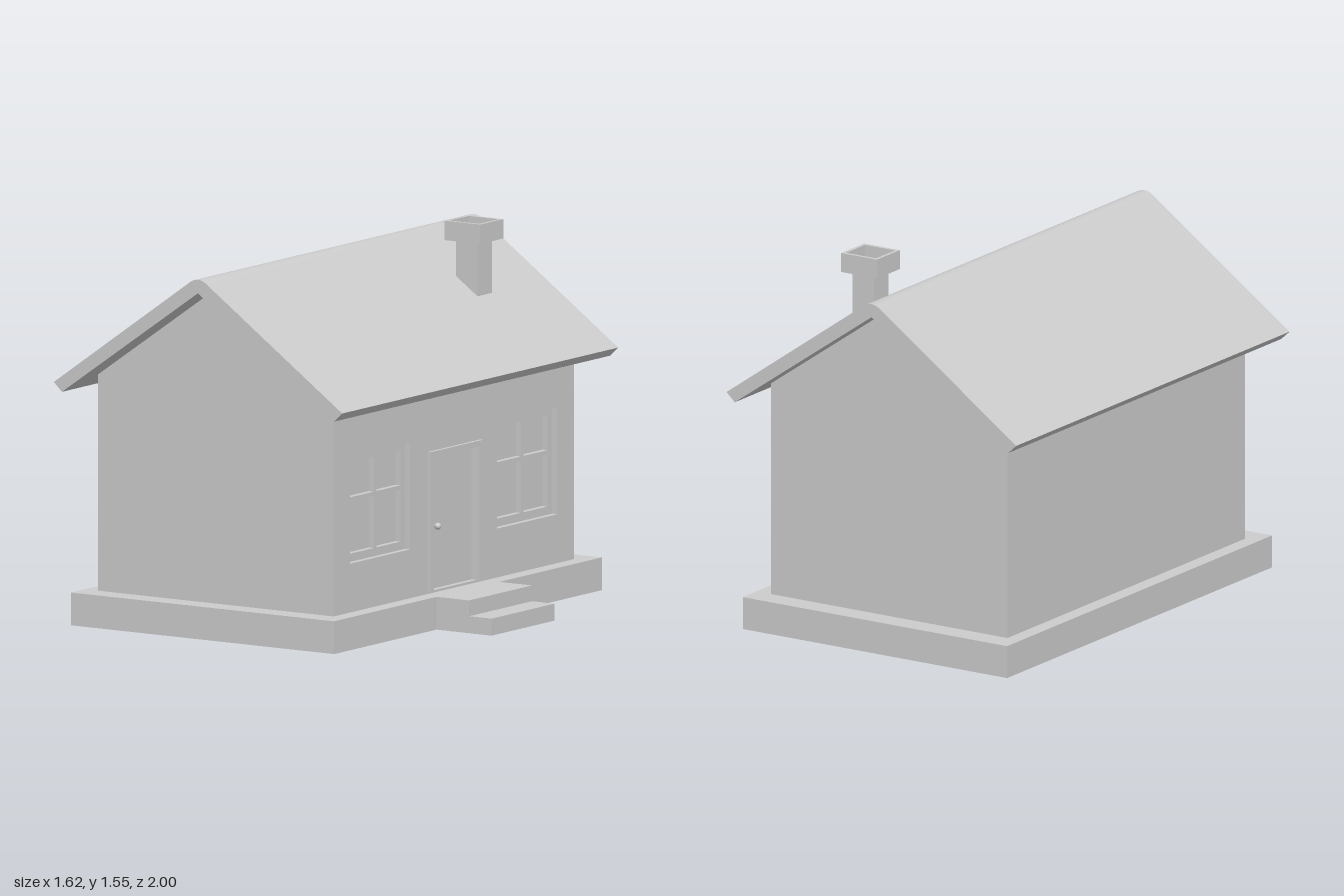
import * as THREE from 'three';
import { toCreasedNormals } from 'three/addons/utils/BufferGeometryUtils.js';

const CX = -0.1075; // house centre line

export function createModel() {
  const house = new THREE.Group();
  house.name = 'house';
  const mat = new THREE.MeshStandardMaterial({ color: 0xcccccc });
  const openMat = new THREE.MeshStandardMaterial({ color: 0xcccccc, side: THREE.DoubleSide });

  const add = (geo, name, parent = house, material = mat) => {
    const mesh = new THREE.Mesh(geo, material);
    mesh.name = name;
    parent.add(mesh);
    return mesh;
  };
  const poly = (pts) => new THREE.Shape(pts.map(([x, y]) => new THREE.Vector2(x, y)));
  const rect = (x0, x1, y0, y1) => poly([[x0, y0], [x1, y0], [x1, y1], [x0, y1]]);
  const holed = (shape, ...holes) => { shape.holes.push(...holes); return shape; };
  const extrude = (shape, depth) =>
    new THREE.ExtrudeGeometry(shape, { depth, bevelEnabled: false, curveSegments: 10 });
  // box between two corners
  const box = (x0, x1, y0, y1, z0, z1) =>
    new THREE.BoxGeometry(x1 - x0, y1 - y0, z1 - z0)
      .translate((x0 + x1) / 2, (y0 + y1) / 2, (z0 + z1) / 2);
  // shape in plan, raised from y0 to y1
  const slab = (shape, y0, y1) => extrude(shape, y1 - y0).rotateX(-Math.PI / 2).translate(0, y0, 0);
  // shape in side elevation (first axis = -z), from x0 to x1
  const side = (shape, x0, x1) => extrude(shape, x1 - x0).rotateY(Math.PI / 2).translate(x0, 0, 0);

  // Foundation ring, open in the middle
  add(slab(holed(rect(-0.75, 0.54, -0.97, 0.97), rect(-0.675, 0.46, -0.865, 0.865)), 0, 0.135), 'foundation');

  // Gable walls
  const gable = poly([[-0.685, 0.07], [0.47, 0.07], [0.47, 1.03], [CX, 1.435], [-0.685, 1.03]]);
  for (const z of [-0.87, 0.81]) add(extrude(gable, 0.06).translate(0, 0, z), 'gableWall');

  // Long walls; the entrance side has window and door openings
  add(box(-0.685, -0.625, 0.07, 1.04, -0.81, 0.81), 'rearWall');
  const entrance = holed(rect(-0.81, 0.81, 0.07, 1.04),
    rect(-0.75, -0.315, 0.336, 0.777), rect(0.315, 0.75, 0.336, 0.777), rect(-0.166, 0.166, 0.145, 0.697));
  add(side(entrance, 0.41, 0.47), 'entranceWall');

  // Roof with a rounded ridge
  const roof = new THREE.Shape();
  roof.moveTo(-0.775, 0.963);
  roof.lineTo(CX, 1.43);
  roof.lineTo(0.56, 0.963);
  roof.lineTo(0.6, 1.0);
  roof.lineTo(CX + 0.045, 1.468);
  roof.bezierCurveTo(CX + 0.018, 1.491, CX - 0.018, 1.491, CX - 0.045, 1.468);
  roof.lineTo(-0.815, 1.0);
  roof.closePath();
  add(toCreasedNormals(extrude(roof, 2).translate(0, 0, -1), 0.5), 'roof');

  // Windows: recessed frame with four panes
  for (const s of [-1, 1]) {
    const win = new THREE.Group();
    win.name = 'window';
    win.position.z = s * 0.5325;
    const panes = [];
    for (const [a, b] of [[-0.183, -0.009], [0.009, 0.183]])
      for (const [c, d] of [[0.37, 0.584], [0.602, 0.745]]) panes.push(rect(a, b, c, d));
    add(side(holed(rect(-0.2175, 0.2175, 0.336, 0.777), ...panes), 0.415, 0.445), 'windowFrame', win);
    add(box(0.405, 0.42, 0.336, 0.777, -0.2175, 0.2175), 'windowPane', win);
    house.add(win);
  }

  // Door with surround and knob
  const surround = poly([[-0.19, 0.145], [-0.166, 0.145], [-0.166, 0.697], [0.166, 0.697],
    [0.166, 0.145], [0.19, 0.145], [0.19, 0.72], [-0.19, 0.72]]);
  add(side(surround, 0.45, 0.485), 'doorSurround');
  add(box(0.41, 0.445, 0.135, 0.7, -0.17, 0.17), 'door');
  add(new THREE.SphereGeometry(0.014, 16, 12).translate(0.462, 0.402, 0.103), 'doorKnob');
  add(new THREE.CylinderGeometry(0.006, 0.006, 0.02, 10).rotateZ(Math.PI / 2).translate(0.45, 0.402, 0.103), 'knobStem');

  // Entrance steps: a shell open underneath
  const steps = new THREE.Group();
  steps.name = 'steps';
  house.add(steps);
  const profile = [[0.54, 0.135], [0.7, 0.135], [0.7, 0.07], [0.81, 0.07], [0.81, 0]];
  for (let i = 0; i < profile.length - 1; i++) {
    const [x0, y0] = profile[i], [x1, y1] = profile[i + 1];
    const flat = y0 === y1;
    const plane = new THREE.PlaneGeometry(flat ? x1 - x0 : 0.455, flat ? 0.455 : y0 - y1);
    if (flat) plane.rotateX(-Math.PI / 2);
    else plane.rotateY(Math.PI / 2);
    add(plane.translate((x0 + x1) / 2, (y0 + y1) / 2, 0), flat ? 'tread' : 'riser', steps, openMat);
  }
  for (const s of [-1, 1]) {
    const cheek = new THREE.ShapeGeometry(poly([[0.54, 0], ...profile]));
    if (s < 0) cheek.rotateY(Math.PI).scale(1, 1, 1).translate(0, 0, 0);
    const mesh = add(cheek, 'stepSide', steps, openMat);
    if (s < 0) mesh.scale.x = -1;
    mesh.position.z = s * 0.2275;
  }

  // Chimney: shaft cut to the roof slope, hollow cap
  const shaft = poly([[0.145, 1.3], [0.25, 1.225], [0.25, 1.485], [0.145, 1.485]]);
  add(extrude(shaft, 0.105).translate(0, 0, -0.602), 'chimneyShaft');
  const cap = holed(rect(0.11, 0.285, 0.465, 0.633), rect(0.125, 0.27, 0.48, 0.618));
  add(slab(cap, 1.47, 1.55), 'chimneyCap');
  add(box(0.12, 0.275, 1.47, 1.49, -0.623, -0.475), 'chimneyCapFloor');

  return house;
}
